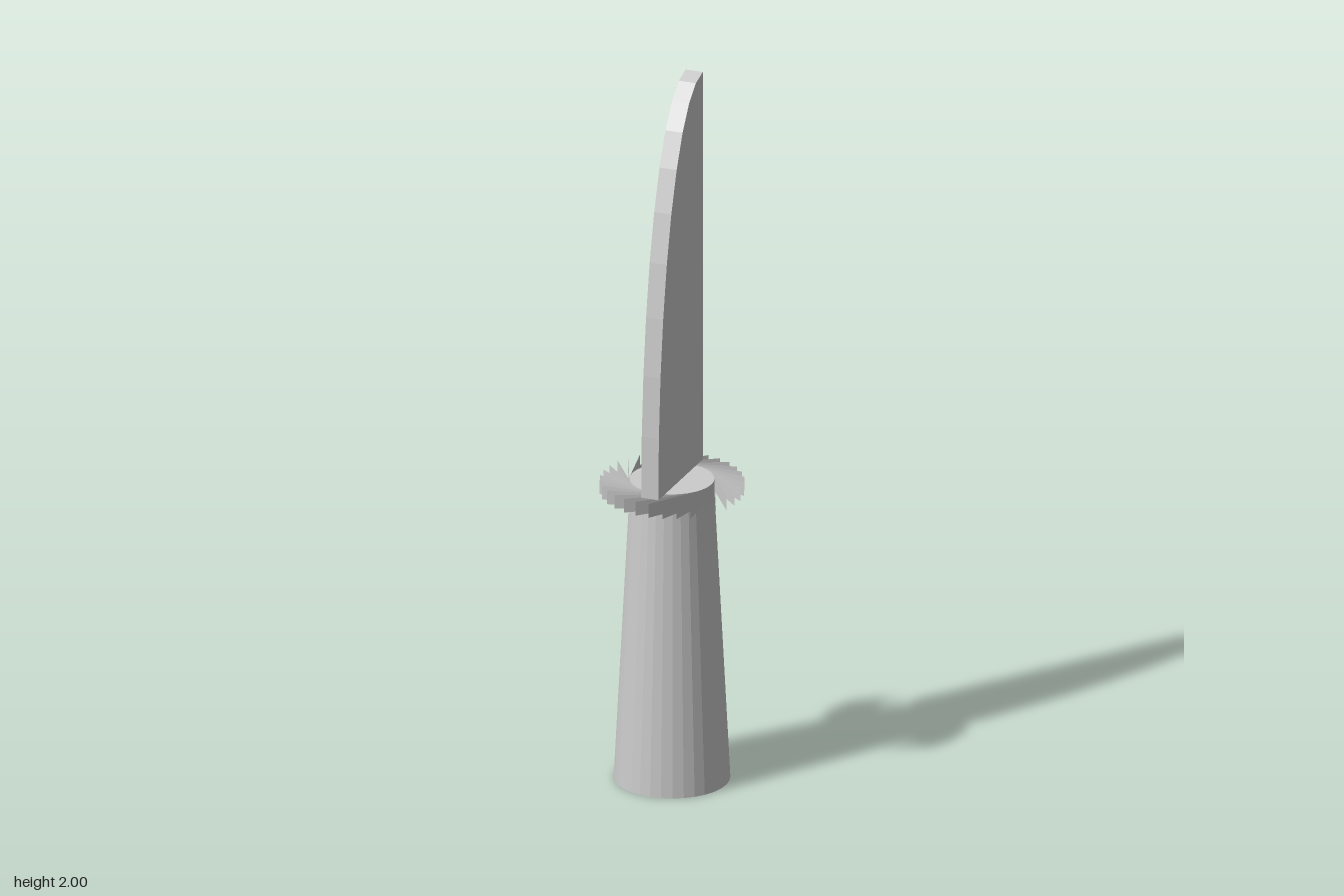
import * as THREE from 'three';

export function createModel() {
  const model = new THREE.Group();
  const grey = new THREE.MeshStandardMaterial({ color: 0xcccccc, flatShading: true });
  const thin = new THREE.MeshStandardMaterial({ color: 0xcccccc, flatShading: true, side: THREE.DoubleSide });

  const add = (name, geometry, parent = model, material = grey) => {
    const mesh = new THREE.Mesh(geometry, material);
    mesh.name = name;
    parent.add(mesh);
    return mesh;
  };

  const SIDES = 32;
  const guardBottom = 0.83, guardTop = 0.87, coreRadius = 0.115;
  const guardHeight = guardTop - guardBottom;
  const guardMiddle = (guardTop + guardBottom) / 2;

  // Tapered handle, wider at the foot
  add('handle', new THREE.CylinderGeometry(coreRadius, 0.158, guardBottom, SIDES)
    .translate(0, guardBottom / 2, 0));

  // Guard: a short core ringed by thin fins that leave it along the tangent
  const guard = new THREE.Group();
  guard.name = 'guard';
  model.add(guard);
  add('guardCore', new THREE.CylinderGeometry(coreRadius, coreRadius, guardHeight, SIDES)
    .translate(0, guardMiddle, 0), guard);

  const finLength = 0.159;
  const finGeometry = new THREE.PlaneGeometry(finLength, guardHeight)
    .translate(finLength / 2, guardMiddle, -coreRadius);
  for (let i = 0; i < SIDES; i++) {
    const fin = add('guardFin', finGeometry, guard, thin);
    fin.rotation.y = (i / SIDES) * Math.PI * 2 + THREE.MathUtils.degToRad(1);
  }

  // Blade: straight spine at the back, quarter-ellipse edge at the front
  const spine = -0.16, width = 0.32, thickness = 0.05, steps = 10;
  const outline = new THREE.Shape();
  outline.moveTo(spine, guardTop);
  for (let i = 0; i <= steps; i++) {
    const a = (i / steps) * Math.PI / 2;
    outline.lineTo(spine + width * Math.cos(a), guardTop + (2 - guardTop) * Math.sin(a));
  }
  outline.closePath();
  add('blade', new THREE.ExtrudeGeometry(outline, { depth: thickness, bevelEnabled: false })
    .rotateY(-Math.PI / 2)
    .translate(thickness / 2, 0, 0));

  return model;
}
